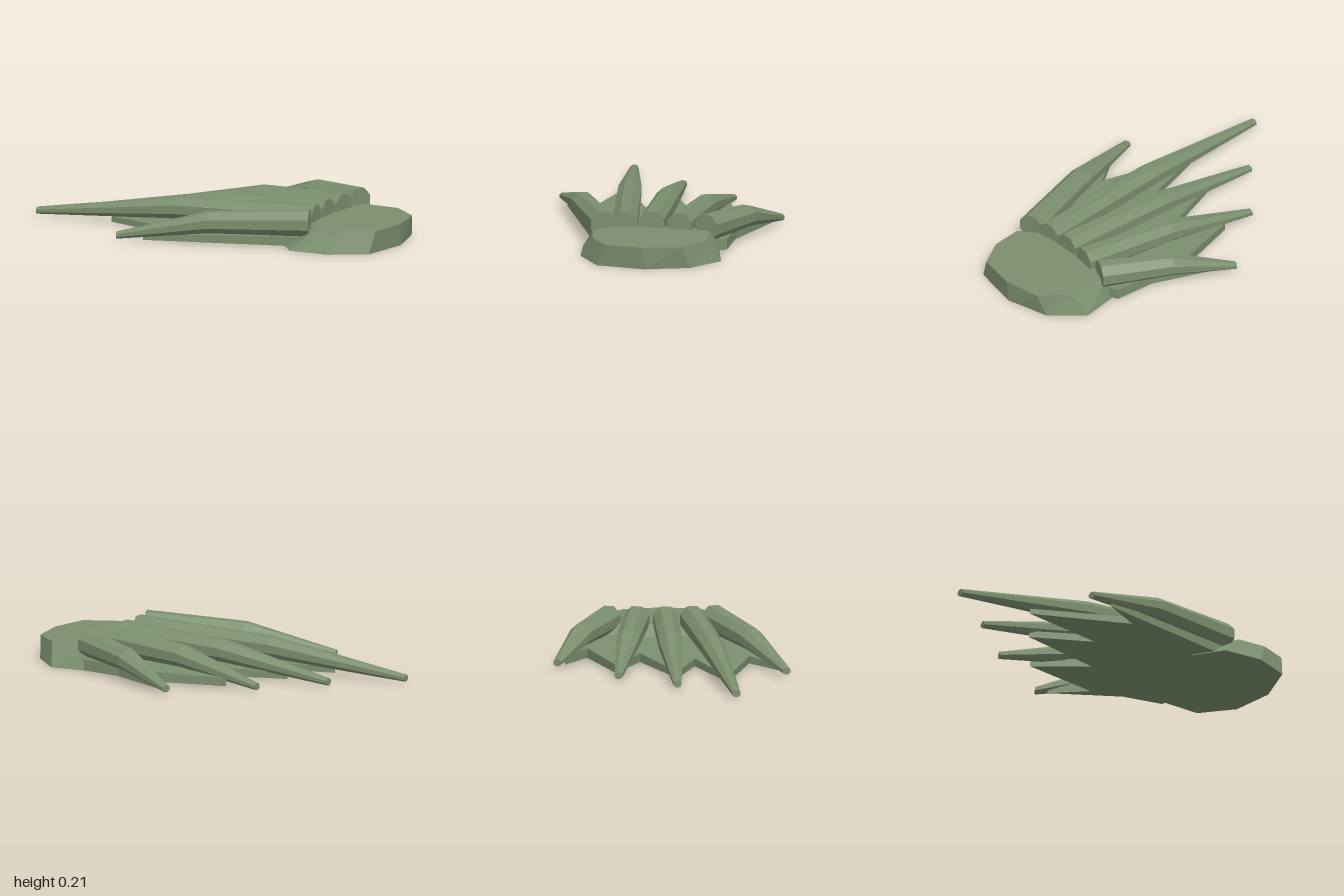
import * as THREE from 'three';

// Skin facets over a stack of rings, each counter-clockwise about the stacking direction
function loft(rings) {
  const n = rings[0].length, pos = [];
  const tri = (a, b, c) => pos.push(...a, ...b, ...c);
  for (let k = 0; k < rings.length - 1; k++) {
    const lo = rings[k], hi = rings[k + 1];
    for (let i = 0; i < n; i++) {
      const j = (i + 1) % n;
      tri(lo[i], lo[j], hi[j]);
      tri(lo[i], hi[j], hi[i]);
    }
  }
  const first = rings[0], last = rings[rings.length - 1];
  for (let i = 1; i < n - 1; i++) {
    tri(first[0], first[i + 1], first[i]);
    tri(last[0], last[i], last[i + 1]);
  }
  const g = new THREE.BufferGeometry();
  g.setAttribute('position', new THREE.Float32BufferAttribute(pos, 3));
  g.computeVertexNormals();
  return g;
}

// Eight-sided tapering toe: base, knuckle and tip given as [x, z]
function toeGeometry(base, knee, tip) {
  const dir = new THREE.Vector2(tip[0] - base[0], tip[1] - base[1]).normalize();
  const side = [dir.y, -dir.x]; // up x dir
  const ring = ([x, z], y, w, h) => Array.from({ length: 8 }, (_, i) => {
    const a = (i + 0.5) * Math.PI / 4, r = 1 / Math.cos(Math.PI / 8);
    const s = Math.cos(a) * r * w;
    return [x + side[0] * s, y + Math.sin(a) * r * h, z + side[1] * s];
  });
  return loft([
    ring(base, 0.137, 0.068, 0.07),
    ring(knee, 0.12, 0.062, 0.056),
    ring(tip, 0.03, 0.022, 0.018),
  ]);
}

export function createModel() {
  const model = new THREE.Group();
  const skin = new THREE.MeshStandardMaterial({ color: 0x7b8f6e });
  skin.name = 'mossGreenSkin';
  const add = (name, geometry) => {
    const mesh = new THREE.Mesh(geometry, skin);
    mesh.name = name;
    model.add(mesh);
  };

  // Heel pad: a wide sole and a smaller top, [x, z]
  const sole = [[0.56, -0.15], [0.93, -0.01], [1, 0.2], [0.93, 0.44], [0.75, 0.64],
    [0.53, 0.64], [0.33, 0.54], [0.29, 0.35], [0.42, 0.08]];
  const top = [[0.7, -0.05], [0.93, 0.085], [1, 0.255], [0.93, 0.45], [0.79, 0.61],
    [0.62, 0.61], [0.47, 0.54], [0.45, 0.42], [0.55, 0.15]];
  const level = (pts, y) => pts.map(([x, z]) => [x, y, z]).reverse();
  add('heelPad', loft([level(sole, 0), level(top, 0.12)]));

  // Five splayed toes
  const toes = [
    [[0.44, 0.47], [-0.1, 0.36], [-0.59, 0.265]],
    [[0.48, 0.36], [-0.25, 0.02], [-0.99, -0.32]],
    [[0.55, 0.235], [-0.01, -0.1], [-0.58, -0.43]],
    [[0.64, 0.11], [0.21, -0.23], [-0.2, -0.56]],
    [[0.73, -0.01], [0.5, -0.34], [0.285, -0.635]],
  ];
  toes.forEach((t, i) => add('toe' + (i + 1), toeGeometry(...t)));

  // Webbing between the toes, thickening toward the heel
  const outline = [[0.45, 0.5], [-0.45, 0.3], [-0.2, 0.28], [-0.6, -0.12], [-0.11, -0.01],
    [-0.35, -0.28], [0.15, -0.19], [-0.03, -0.47], [0.41, -0.36], [0.31, -0.57],
    [0.56, -0.25], [0.75, -0.12], [0.7, 0.2]];
  const shape = new THREE.Shape(outline.map(([x, z]) => new THREE.Vector2(x, -z)));
  const web = new THREE.ExtrudeGeometry(shape, { depth: 0.03, bevelEnabled: false });
  web.rotateX(-Math.PI / 2).translate(0, 0.01, 0);
  const p = web.attributes.position;
  for (let i = 0; i < p.count; i++) {
    if (p.getY(i) > 0.02) p.setY(i, 0.04 + 0.023 * (p.getX(i) + 0.6));
  }
  web.computeVertexNormals();
  add('webbing', web);

  return model;
}
